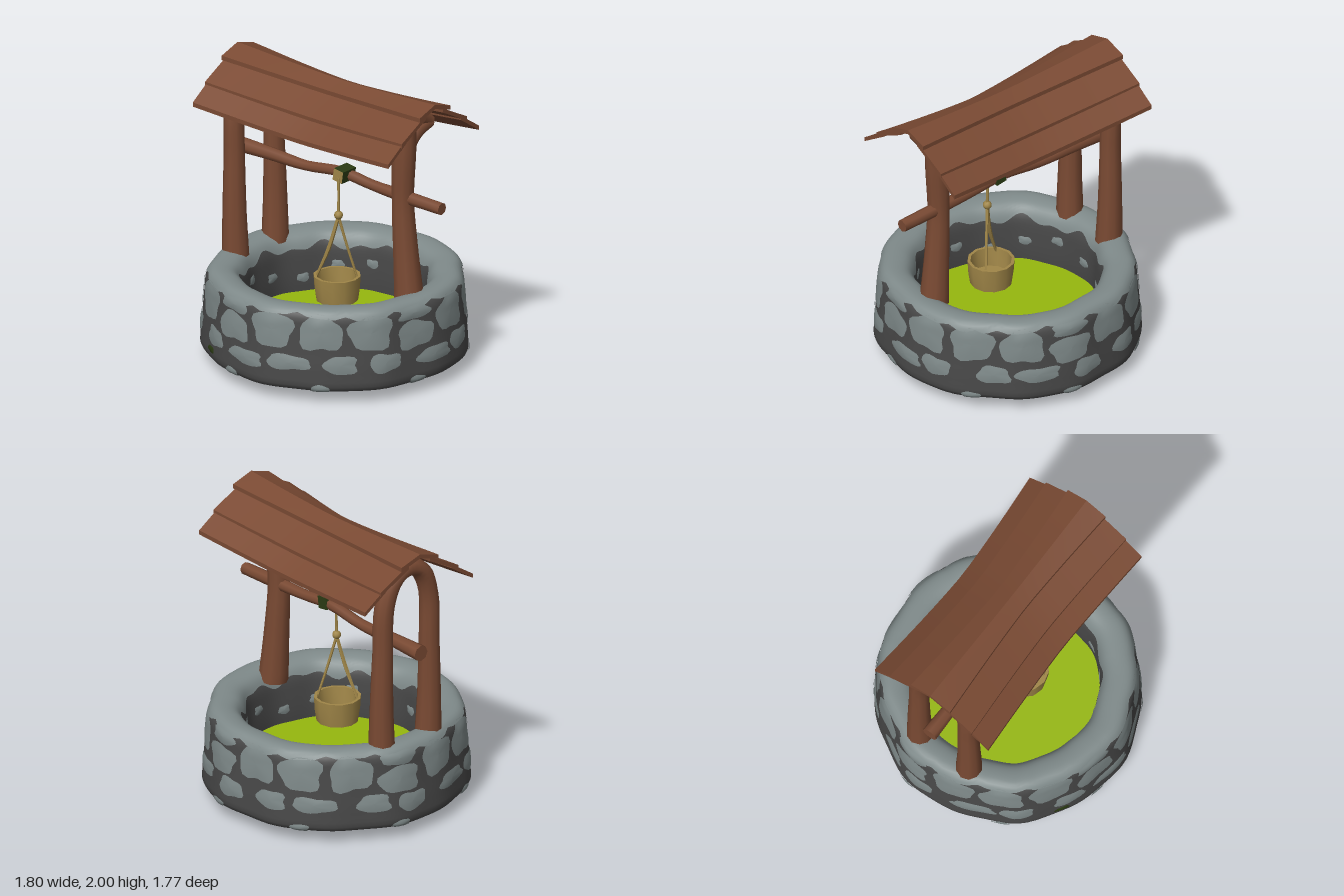
import * as THREE from 'three';
import { toCreasedNormals } from 'three/addons/utils/BufferGeometryUtils.js';

const mat = (name, color, side = THREE.FrontSide) =>
  Object.assign(new THREE.MeshStandardMaterial({ color, side }), { name });

// Grid of (ni x nj) cells from a rule; i can wrap round so normals stay smooth
function grid(ni, nj, rule, wrapI = false, wrapJ = false) {
  const ci = wrapI ? ni : ni + 1, cj = wrapJ ? nj : nj + 1, pos = [], idx = [];
  for (let j = 0; j < cj; j++)
    for (let i = 0; i < ci; i++) pos.push(...rule(i / ni, j / nj));
  const at = (i, j) => (j % cj) * ci + (i % ci);
  for (let j = 0; j < nj; j++)
    for (let i = 0; i < ni; i++) {
      const a = at(i, j), b = at(i + 1, j), c = at(i + 1, j + 1), d = at(i, j + 1);
      idx.push(a, b, c, a, c, d);
    }
  const g = new THREE.BufferGeometry();
  g.setAttribute('position', new THREE.Float32BufferAttribute(pos, 3));
  g.setIndex(idx);
  g.computeVertexNormals();
  return g;
}

// Crooked round timber or rope through points [x, y, z, radius]
function limb(points, sides = 10, steps = 18) {
  const curve = new THREE.CatmullRomCurve3(points.map(p => new THREE.Vector3(p[0], p[1], p[2])));
  const frames = curve.computeFrenetFrames(steps), last = points.length - 1;
  const g = grid(sides, steps + 2, (u, v) => {
    const row = Math.round(v * (steps + 2)) - 1;
    const k = Math.min(Math.max(row, 0), steps), t = k / steps;
    const n = Math.min(Math.floor(t * last), last - 1);
    let r = THREE.MathUtils.lerp(points[n][3], points[n + 1][3], t * last - n);
    if (row < 0 || row > steps) r = 0;
    const a = u * Math.PI * 2;
    return curve.getPoint(t).addScaledVector(frames.normals[k], Math.cos(a) * r)
      .addScaledVector(frames.binormals[k], Math.sin(a) * r).toArray();
  }, true);
  return toCreasedNormals(g, 0.9);
}

// Rounded cross-section of the stone ring: underside, outer wall, rim, inner wall
const profile = new THREE.CatmullRomCurve3([
  [0.63, 0.11], [0.7, 0.085], [0.82, 0.078], [0.872, 0.1], [0.875, 0.2], [0.862, 0.36], [0.85, 0.5],
  [0.84, 0.59], [0.805, 0.633], [0.73, 0.64], [0.66, 0.615], [0.62, 0.55], [0.605, 0.42], [0.605, 0.25],
].map(([r, y]) => new THREE.Vector3(r, y, 0)), true, 'centripetal');

// Point on the ring at angle a and profile position u, lifted by off
function ringPoint(a, u, off = 0) {
  u = THREE.MathUtils.euclideanModulo(u, 1);
  const p = profile.getPointAt(u), t = profile.getTangentAt(u);
  const r = (p.x + t.y * off) * (1 + 0.009 * Math.sin(7 * a + 1) + 0.006 * Math.sin(13 * a));
  return [r * Math.sin(a) - 0.018, p.y - t.x * off, r * Math.cos(a)];
}
// Profile position of a given height on the outer wall
function outerU(y) {
  let best = 0, err = 9;
  for (let u = 0; u < 1; u += 0.004) {
    const p = profile.getPointAt(u), e = Math.abs(p.y - y);
    if (p.x > 0.8 && e < err) { err = e; best = u; }
  }
  return best;
}

// Thin irregular stone face lying on the ring
function stonePatch(a0, u0, w, h, seed) {
  return grid(22, 3, (i, j) => {
    const q = i * Math.PI * 2, c = Math.cos(q), s = Math.sin(q), k = 1 - j;
    const box = 1 / Math.pow(Math.pow(Math.abs(c), 3) + Math.pow(Math.abs(s), 3), 1 / 3);
    const wob = box * k * (1 + 0.09 * Math.sin(3 * q + seed) + 0.07 * Math.sin(5 * q + seed * 2.3));
    return ringPoint(a0 + c * wob * w, u0 + s * wob * h, 0.004 + 0.005 * (1 - k * k));
  }, true);
}

export function createModel() {
  const model = new THREE.Group();
  model.name = 'wishingWell';
  const wood = mat('brownWood', 0x7a4a33);
  const stone = mat('lightStone', 0x7f8a8a);
  const mortar = mat('darkMortar', 0x484848);
  const moss = mat('darkMoss', 0x2b3b14);
  const water = mat('limeWater', 0x96b80e);
  const straw = mat('strawRope', 0xa08648, THREE.DoubleSide);
  const add = (name, geo, material, parent = model) => {
    const m = new THREE.Mesh(geo, material);
    m.name = name;
    parent.add(m);
    return m;
  };
  const TAU = Math.PI * 2;

  // Stone ring
  const ring = new THREE.Group();
  ring.name = 'stoneRing';
  model.add(ring);
  add('ringWall', grid(96, 48, (i, j) => ringPoint(i * TAU, j), true, true), mortar, ring);

  // Pale rim, its lower edge cut by mortar joints
  const edgeU = outerU(0.585), jointU = outerU(0.61), N = 16;
  add('rimCap', grid(160, 14, (i, j) => {
    const a = i * TAU, joint = Math.pow(Math.abs(Math.cos(a * N / 2)), 10);
    const lo = edgeU + (jointU - edgeU) * joint + 0.008 * Math.sin(5 * a);
    const hi = 0.705 + 0.015 * Math.sin(9 * a) + 0.012 * Math.sin(17 * a);
    return ringPoint(a, lo + (hi - lo) * j, 0.004);
  }, true), stone, ring);

  // Courses of stones on the outer wall, underside and inner wall
  const uHigh = outerU(0.49), uMid = outerU(0.42), uLow = outerU(0.275), uFoot = outerU(0.15);
  for (let n = 0; n < N; n++) {
    const a = (n + 0.5) * TAU / N, s = n * 2.7, low = n % 4 === 3;
    add('upperStone', stonePatch(a, low ? uMid : uHigh, 0.168, low ? 0.062 : 0.078, s), stone, ring);
    if (low) add('capStone', stonePatch(a, outerU(0.57), 0.15, 0.03, s + 1), stone, ring);
    const wide = n % 3 === 0;
    add('lowerStone', stonePatch(a + 0.14 + 0.04 * Math.sin(s), uLow + (low ? -0.015 : 0),
      wide ? 0.17 : 0.125, wide ? 0.034 : 0.042, s + 2), stone, ring);
    if (n % 2) add('footStone', stonePatch(a, uFoot - 0.03, 0.07, 0.02, s), stone, ring);
    add('undersideStone', stonePatch(a + 0.2, 0.08 + 0.02 * Math.sin(s), 0.07, 0.022, s), stone, ring);
    add('innerStone', stonePatch(a + 0.1, 0.81 + 0.035 * Math.sin(s * 1.7), 0.07, 0.02, s), stone, ring);
  }
  add('mossSpot', stonePatch(-0.51, outerU(0.17), 0.06, 0.014, 4), moss, ring);

  // Foot and water
  add('base', new THREE.CylinderGeometry(0.61, 0.63, 0.13, 24), [moss, mortar, mortar])
    .position.set(-0.025, 0.065, 0);
  const pool = add('water', new THREE.CircleGeometry(0.62, 32), water);
  pool.rotation.x = -Math.PI / 2;
  pool.position.set(-0.018, 0.24, 0);

  // Posts: a bent arch on one side, a forked trunk on the other
  const leg = [[0.57, 0.2, 0.092], [0.9, 0.205, 0.08], [1.3, 0.2, 0.07], [1.62, 0.19, 0.068], [1.8, 0.12, 0.07]];
  add('archPosts', limb([
    ...leg.map(([y, z, r]) => [-0.715 - (y - 0.57) * 0.015, y, z, r]),
    [-0.73, 1.86, 0, 0.07],
    ...leg.slice().reverse().map(([y, z, r]) => [-0.715 - (y - 0.57) * 0.015, y, -z, r]),
  ], 10, 40), wood);
  add('forkPost', limb([[0.615, 0.57, 0, 0.1], [0.59, 0.9, 0.005, 0.085], [0.57, 1.25, 0.01, 0.074],
    [0.58, 1.6, 0.01, 0.083], [0.58, 1.88, 0, 0.08]]), wood);
  for (const s of [1, -1]) {
    add('forkBranch', limb([[0.58, 1.62, 0, 0.06], [0.58, 1.71, s * 0.1, 0.055], [0.59, 1.75, s * 0.24, 0.04]], 8, 8), wood);
    add('forkRafter', limb([[0.58, 1.88, 0, 0.055], [0.58, 1.82, s * 0.12, 0.055], [0.59, 1.75, s * 0.24, 0.04]], 8, 8), wood);
  }

  // Sagging roof: three overlapping planks each side [z0, y0, z1, y1]
  const roof = new THREE.Group();
  roof.name = 'roof';
  model.add(roof);
  const planks = [[0, 1.985, 0.16, 1.935], [0.09, 1.935, 0.335, 1.805], [0.28, 1.825, 0.465, 1.7]];
  for (const s of [1, -1])
    planks.forEach(([z0, y0, z1, y1], n) => {
      const g = new THREE.BoxGeometry(1.71 - 0.012 * n, 0.03, 1, 14, 1, 1), p = g.attributes.position;
      for (let i = 0; i < p.count; i++) {
        const x = p.getX(i) - 0.015, w = s * p.getZ(i) + 0.5;
        const k = 1 - Math.pow(Math.min(Math.abs(x - 0.03) / 0.88, 1), 1.4);
        const z = THREE.MathUtils.lerp(z0, z1, w) - 0.05 * k * (n ? 1 : w);
        p.setXYZ(i, x, THREE.MathUtils.lerp(y0, y1, w) + p.getY(i) - (0.035 + 0.008 * n) * k, s * z);
      }
      g.computeVertexNormals();
      add('roofPlank', toCreasedNormals(g, 0.5), wood, roof);
    });
  add('roofPeg', new THREE.CylinderGeometry(0.011, 0.009, 0.4, 6), wood, roof).position.set(-0.01, 1.74, 0);

  // Axle
  add('axle', limb([[-0.88, 1.285, 0, 0.055], [-0.58, 1.285, 0, 0.045], [-0.28, 1.28, 0, 0.036],
    [0.03, 1.315, 0, 0.038], [0.3, 1.29, 0, 0.036], [0.6, 1.28, 0, 0.045], [0.895, 1.272, -0.005, 0.042]], 8, 24), wood);

  // Rope, knots and bucket
  const hoist = new THREE.Group();
  hoist.name = 'bucketHoist';
  model.add(hoist);
  const wrap = add('axleKnot', new THREE.BoxGeometry(0.08, 0.085, 0.13), [moss, moss, moss, straw, straw, moss], hoist);
  wrap.position.set(0.075, 1.322, 0.025);
  wrap.rotation.z = -0.15;
  add('rope', limb([[0.08, 1.31, 0.088, 0.011], [0.083, 1.18, 0.09, 0.009], [0.083, 1.05, 0.092, 0.011]], 6, 6), straw, hoist);
  add('ropeKnot', new THREE.IcosahedronGeometry(0.03, 1), straw, hoist).position.set(0.083, 1.05, 0.092);
  add('leftStrand', limb([[0.083, 1.04, 0.092, 0.012], [0.03, 0.81, 0.13, 0.014], [-0.055, 0.59, 0.165, 0.008]], 6, 8), straw, hoist);
  add('rightStrand', limb([[0.083, 1.04, 0.092, 0.01], [0.125, 0.82, 0.05, 0.009], [0.172, 0.59, 0.0, 0.008]], 6, 8), straw, hoist);
  const tub = [[0, 0.45], [0.14, 0.45], [0.152, 0.53], [0.158, 0.62], [0.138, 0.62], [0.125, 0.49], [0, 0.49]];
  const lathe = new THREE.LatheGeometry(tub.map(([r, y]) => new THREE.Vector2(r, y)), 12);
  add('bucket', toCreasedNormals(lathe, 0.6), straw, hoist).position.set(0.06, 0, 0.08);

  return model;
}
